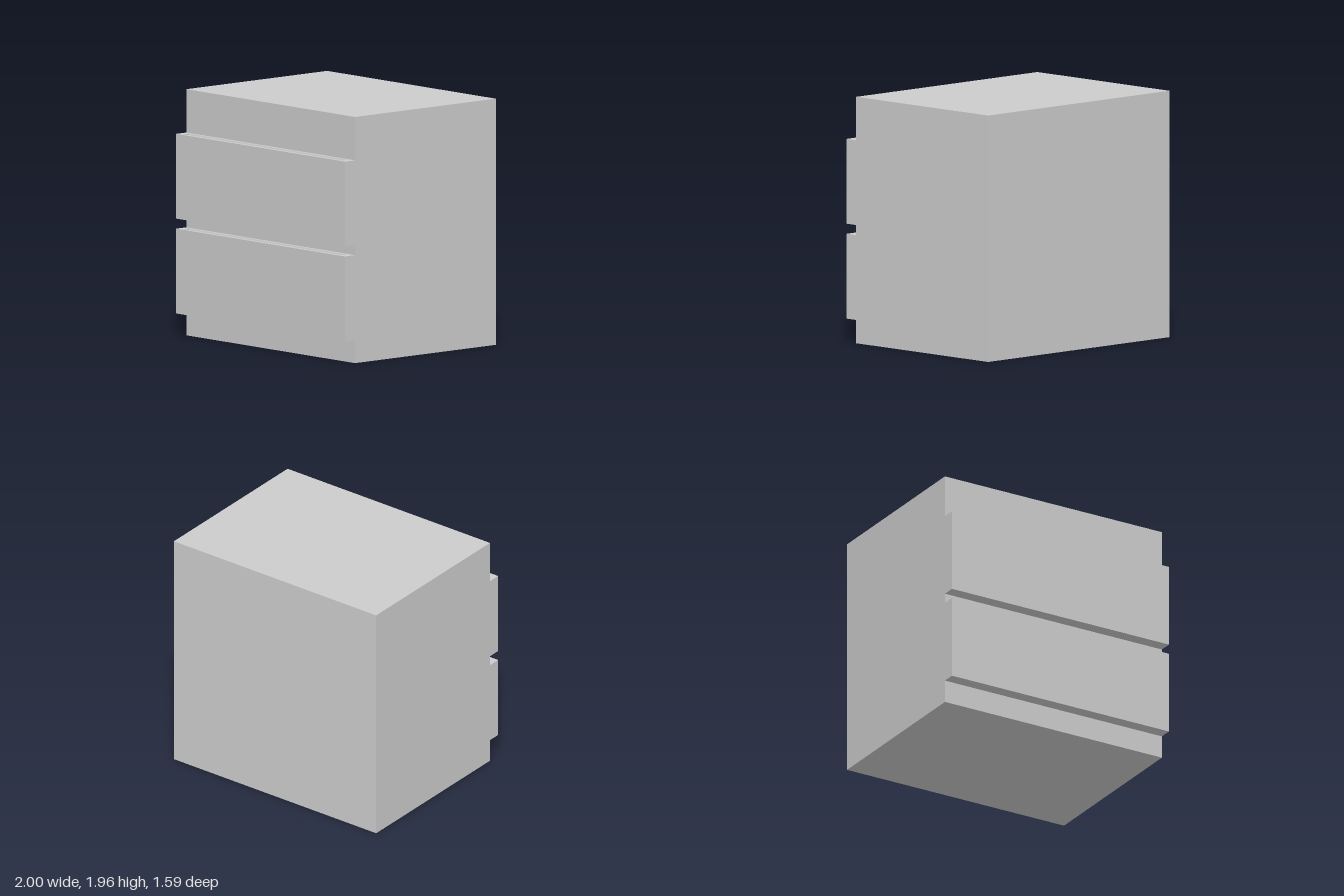
import * as THREE from 'three';

const W = 2, H = 1.96, BACK = -0.795, BODY_FRONT = 0.688, FRONT = 0.795;
const GRIP_HALF = 0.94, GRIP_DEPTH = 0.04, DRAWER_H = 0.675;

// Extrude a [z, y] side profile along x, centred on x = cx
function extrudeAlongX(profile, width, cx) {
  const shape = new THREE.Shape(profile.map(([z, y]) => new THREE.Vector2(z, y)));
  const geo = new THREE.ExtrudeGeometry(shape, { depth: width, bevelEnabled: false });
  geo.translate(0, 0, -width / 2);
  geo.rotateY(-Math.PI / 2);
  geo.translate(cx, 0, 0);
  return geo;
}

export function createModel() {
  const model = new THREE.Group();
  model.name = 'drawerCabinet';
  const grey = new THREE.MeshStandardMaterial({ color: 0xcccccc });
  grey.name = 'light grey';

  const add = (parent, geo, name) => {
    const mesh = new THREE.Mesh(geo, grey);
    mesh.name = name;
    parent.add(mesh);
  };

  // Carcass
  const body = new THREE.BoxGeometry(W, H, BODY_FRONT - BACK);
  body.translate(0, H / 2, (BODY_FRONT + BACK) / 2);
  add(model, body, 'cabinetBody');

  // Drawer fronts: solid ends, with a finger groove along the top between them
  const endProfile = [[BODY_FRONT, 0], [FRONT, 0], [FRONT, DRAWER_H], [BODY_FRONT, DRAWER_H]];
  const floor = DRAWER_H - GRIP_DEPTH;
  const gripProfile = [
    [BODY_FRONT, 0], [FRONT, 0], [FRONT, DRAWER_H],
    [0.767, DRAWER_H], [0.755, floor], [0.724, floor], [0.71, DRAWER_H],
    [BODY_FRONT, DRAWER_H],
  ];
  const endWidth = W / 2 - GRIP_HALF;
  [['lowerDrawer', 0.185], ['upperDrawer', 0.94]].forEach(([name, y]) => {
    const drawer = new THREE.Group();
    drawer.name = name;
    drawer.position.y = y;
    add(drawer, extrudeAlongX(gripProfile, GRIP_HALF * 2, 0), 'groovedFront');
    for (const side of [1, -1]) {
      add(drawer, extrudeAlongX(endProfile, endWidth, side * (GRIP_HALF + endWidth / 2)),
        side > 0 ? 'leftEnd' : 'rightEnd');
    }
    model.add(drawer);
  });

  return model;
}
